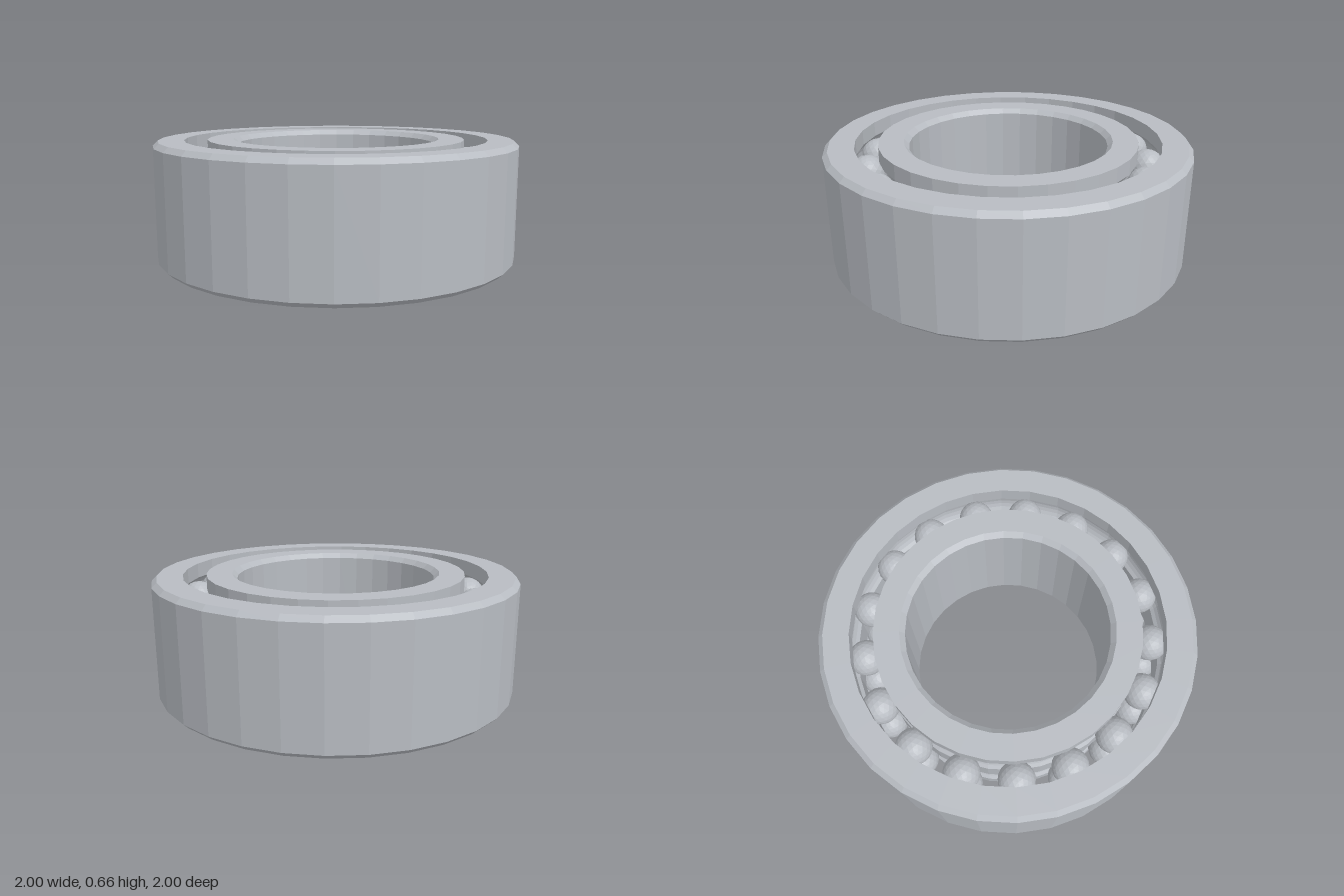
import * as THREE from 'three';

const HEIGHT = 0.66, CHAMFER = 0.027;
const OUTER = 1, OUTER_WALL = 0.835, INNER_WALL = 0.71, BORE = 0.545;
const PITCH = (OUTER_WALL + INNER_WALL) / 2;
const BALL = 0.098, GROOVE = 0.103, BALLS = 17, SIDES = 32;
const ROWS = [0.165, HEIGHT - 0.165];

// Arc of a raceway groove, running from angle a0 to a1 around a ball centre
function groove(y, a0, a1, steps = 8) {
  return Array.from({ length: steps + 1 }, (_, i) => {
    const a = a0 + (a1 - a0) * i / steps;
    return [PITCH + GROOVE * Math.cos(a), y + GROOVE * Math.sin(a)];
  });
}

function ring(name, profile, material) {
  const points = [...profile, profile[0]].map(([x, y]) => new THREE.Vector2(x, y));
  const mesh = new THREE.Mesh(new THREE.LatheGeometry(points, SIDES), material);
  mesh.name = name;
  return mesh;
}

export function createModel() {
  const group = new THREE.Group();
  group.name = 'ballBearing';
  const steel = new THREE.MeshStandardMaterial({ name: 'steel', color: 0xb8bcc2, flatShading: true });
  const spread = Math.acos((OUTER_WALL - PITCH) / GROOVE);

  // Outer ring: chamfered outside, two raceways inside
  group.add(ring('outerRing', [
    [OUTER_WALL, 0], [OUTER - CHAMFER, 0], [OUTER, CHAMFER],
    [OUTER, HEIGHT - CHAMFER], [OUTER - CHAMFER, HEIGHT], [OUTER_WALL, HEIGHT],
    ...groove(ROWS[1], spread, -spread), ...groove(ROWS[0], spread, -spread),
  ], steel));

  // Inner ring: chamfered bore, two raceways outside
  const lo = Math.PI + spread, hi = Math.PI - spread;
  group.add(ring('innerRing', [
    [BORE + CHAMFER, 0], [INNER_WALL, 0],
    ...groove(ROWS[0], lo, hi), ...groove(ROWS[1], lo, hi),
    [INNER_WALL, HEIGHT], [BORE + CHAMFER, HEIGHT],
    [BORE, HEIGHT - CHAMFER], [BORE, CHAMFER],
  ], steel));

  // Two rows of balls between the rings
  const ballGeometry = new THREE.IcosahedronGeometry(BALL, 3);
  ROWS.forEach((y, r) => {
    const row = new THREE.Group();
    row.name = r ? 'upperBalls' : 'lowerBalls';
    for (let i = 0; i < BALLS; i++) {
      const a = i / BALLS * Math.PI * 2;
      const ball = new THREE.Mesh(ballGeometry, steel);
      ball.name = 'ball';
      ball.position.set(PITCH * Math.cos(a), y, PITCH * Math.sin(a));
      row.add(ball);
    }
    group.add(row);
  });
  return group;
}
